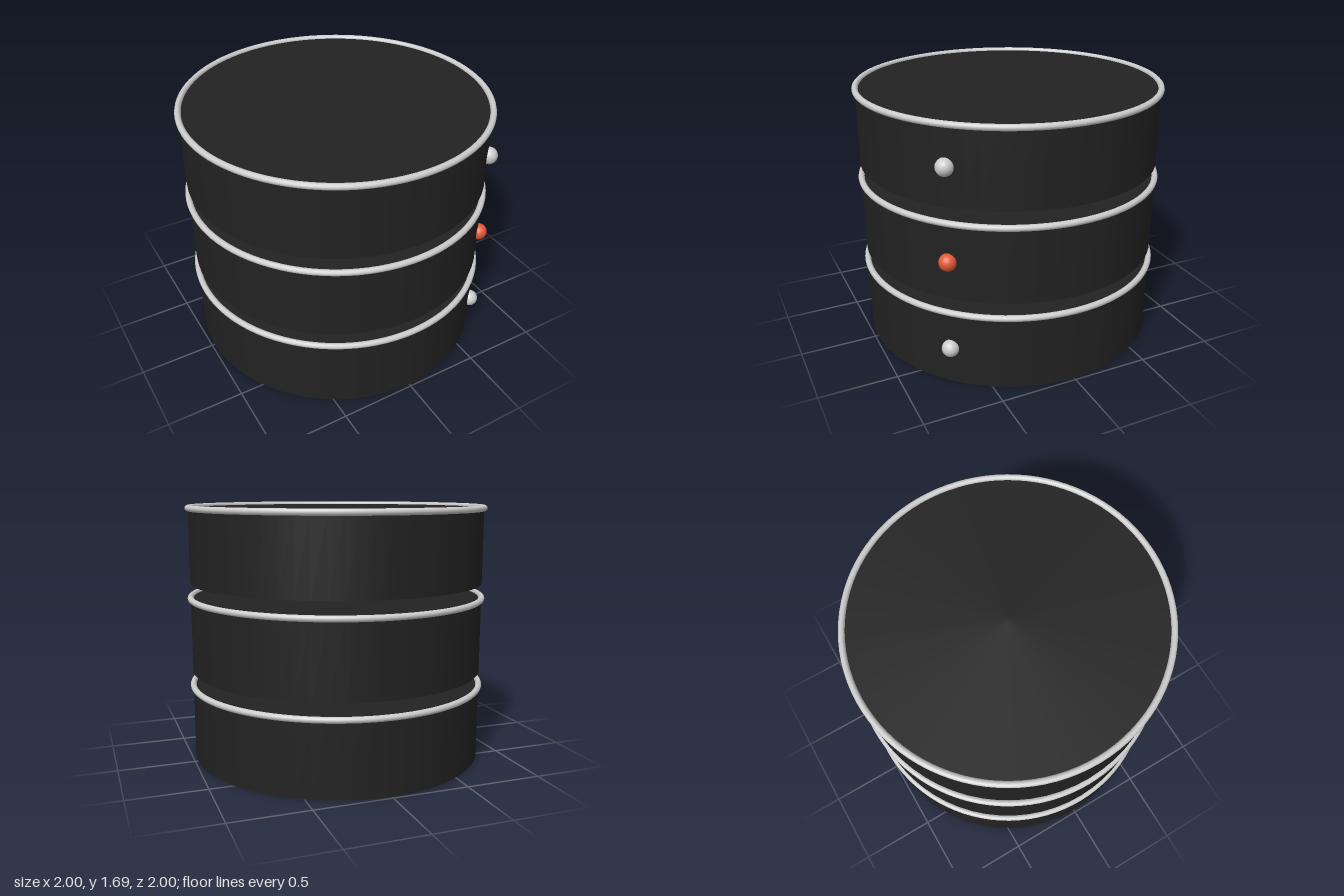
import * as THREE from 'three';

export function createModel() {
  const model = new THREE.Group();
  model.name = 'stackedDrums';

  const material = (name, color) => {
    const m = new THREE.MeshStandardMaterial({ color });
    m.name = name;
    return m;
  };
  const black = material('black', 0x222222);
  const silver = material('silver', 0xcccccc);
  const red = material('orange red', 0xe25a38);

  const radius = 0.98, height = 0.49, spacing = 0.59;
  const bodyGeometry = new THREE.CylinderGeometry(radius, radius, height, 64);
  const rimGeometry = new THREE.TorusGeometry(radius, 0.02, 12, 96).rotateX(Math.PI / 2);
  const knobGeometry = new THREE.SphereGeometry(0.055, 16, 12);

  const add = (parent, name, geometry, mat, x, y, z) => {
    const mesh = new THREE.Mesh(geometry, mat);
    mesh.name = name;
    mesh.position.set(x, y, z);
    parent.add(mesh);
  };

  // Three separate drums, each with a top rim and a round knob on the front left
  const angle = 0.8, knobDistance = 0.986;
  ['lower', 'middle', 'upper'].forEach((level, i) => {
    const drum = new THREE.Group();
    drum.name = level + 'Drum';
    drum.position.y = i * spacing;
    add(drum, 'body', bodyGeometry, black, 0, height / 2, 0);
    add(drum, 'rim', rimGeometry, silver, 0, height, 0);
    add(drum, 'knob', knobGeometry, i === 1 ? red : silver,
      Math.cos(angle) * knobDistance, height / 2, Math.sin(angle) * knobDistance);
    model.add(drum);
  });

  return model;
}
